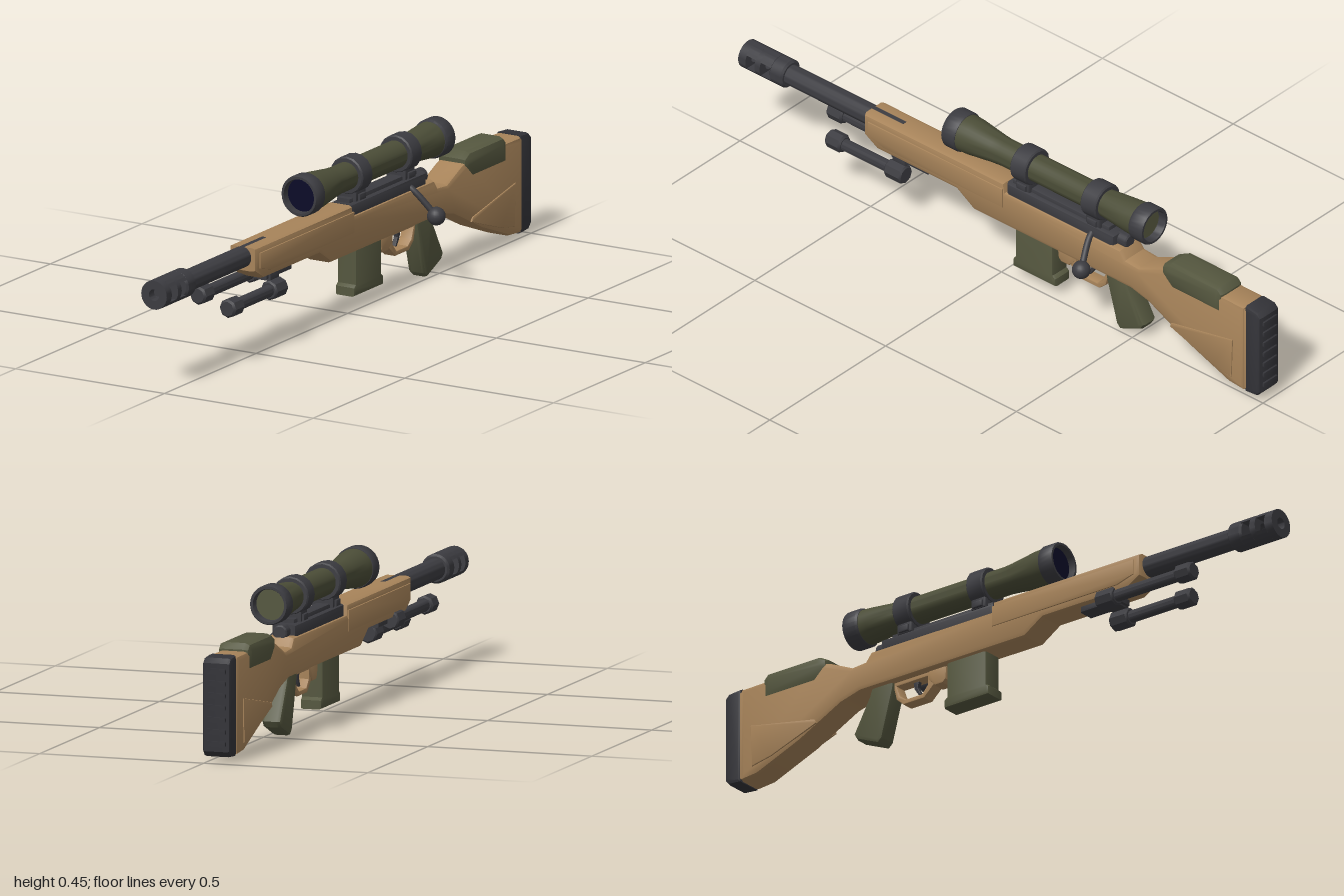
import * as THREE from 'three';
import { toCreasedNormals } from 'three/addons/utils/BufferGeometryUtils.js';

const CX = -0.035; // centre plane of the rifle
const BORE = 0.295; // bore height
const SCOPE = 0.4; // scope axis height

export function createModel() {
  const root = new THREE.Group();
  root.name = 'rifle';
  const mat = (name, color) => {
    const m = new THREE.MeshStandardMaterial({ color });
    m.name = name;
    return m;
  };
  const tan = mat('tan', 0xa8845a);
  const olive = mat('olive', 0x55573f);
  const scopeGreen = mat('scopeGreen', 0x4b4d37);
  const dark = mat('darkMetal', 0x3c3c41);
  const black = mat('rubber', 0x333338);
  const glass = mat('lensBlue', 0x0b0b28);

  const add = (name, geo, material, x = 0, y = 0, z = 0) => {
    const m = new THREE.Mesh(geo, material);
    m.name = name;
    m.position.set(x, y, z);
    root.add(m);
    return m;
  };
  const shapeOf = (pts) => new THREE.Shape(pts.map((p) => new THREE.Vector2(p[0], p[1])));

  // side profile in (z, y), extruded across x to a total width with bevelled edges
  const slab = (name, profile, width, bevel, material, x = CX) => {
    const shape = Array.isArray(profile) ? shapeOf(profile) : profile;
    const geo = new THREE.ExtrudeGeometry(shape, {
      depth: width - 2 * bevel, bevelEnabled: bevel > 0, bevelThickness: bevel,
      bevelSize: bevel, bevelOffset: -bevel, bevelSegments: 2, curveSegments: 8,
    });
    geo.translate(0, 0, -(width - 2 * bevel) / 2);
    geo.rotateY(-Math.PI / 2);
    return add(name, toCreasedNormals(geo, 0.6), material, x);
  };
  const rect = (z0, z1, y0, y1) => [[z0, y0], [z1, y0], [z1, y1], [z0, y1]];

  // turned part along z from (radius, z) points, listed with z rising on the outside
  const turned = (name, pts, material, x, y, sides = 28) => {
    const geo = new THREE.LatheGeometry(pts.map((p) => new THREE.Vector2(p[0], p[1])), sides);
    geo.rotateX(Math.PI / 2);
    return add(name, toCreasedNormals(geo, 0.6), material, x, y);
  };
  const rod = (name, r, z0, z1, material, x, y, sides = 24, c = 0) =>
    turned(name, [[0, z0], [r - c, z0], [r, z0 + c], [r, z1 - c], [r - c, z1], [0, z1]], material, x, y, sides);

  // stock
  slab('stock', [
    [0.52, 0.255], [0.52, 0.325], [-0.015, 0.325], [-0.02, 0.295], [-0.46, 0.295],
    [-0.48, 0.27], [-0.53, 0.266], [-0.61, 0.303], [-0.65, 0.315], [-0.935, 0.312],
    [-0.935, 0.025], [-0.875, 0.03], [-0.72, 0.09], [-0.57, 0.165], [-0.5, 0.183],
    [0.1, 0.183], [0.165, 0.225], [0.47, 0.225],
  ], 0.092, 0.014, tan);
  for (const s of [-1, 1]) {
    const x = CX + s * 0.046;
    slab('buttPanel', [[-0.895, 0.185], [-0.89, 0.055], [-0.82, 0.068], [-0.655, 0.125], [-0.66, 0.138]], 0.007, 0.003, tan, x);
    slab('foreEndPanel', [[0.5, 0.262], [0.5, 0.308], [-0.015, 0.308], [-0.015, 0.245], [0.44, 0.245]], 0.007, 0.003, tan, x);
  }

  // recoil pad with ridges
  slab('buttPlate', rect(-0.945, -0.92, 0.03, 0.306), 0.08, 0.005, tan);
  slab('recoilPad', [[-0.935, 0.022], [-0.935, 0.316], [-0.98, 0.312], [-0.994, 0.298],
    [-0.994, 0.042], [-0.98, 0.026]], 0.085, 0.01, black);
  for (let i = 0; i < 7; i++) {
    const y = 0.065 + i * 0.035;
    slab('padRidge', rect(-1, -0.985, y - 0.008, y + 0.008), 0.06, 0.004, black);
  }

  // cheek rest
  slab('cheekRest', [[-0.65, 0.335], [-0.62, 0.318], [-0.62, 0.29], [-0.66, 0.253],
    [-0.852, 0.253], [-0.852, 0.318], [-0.835, 0.335]], 0.1, 0.02, olive);

  // receiver with rail and bolt
  slab('receiver', rect(-0.43, -0.018, 0.28, 0.326), 0.075, 0.012, dark);
  slab('rail', rect(-0.4, -0.03, 0.315, 0.338), 0.045, 0.005, dark);
  rod('boltShroud', 0.022, -0.462, -0.42, dark, CX, 0.306, 20, 0.004);
  const ball = new THREE.Vector3(0.071, 0.22, -0.368);
  const arm = new THREE.CatmullRomCurve3([
    new THREE.Vector3(-0.02, 0.312, -0.342), new THREE.Vector3(0.012, 0.29, -0.346), ball.clone(),
  ]);
  add('boltHandle', new THREE.TubeGeometry(arm, 10, 0.0095, 10), dark);
  add('boltKnob', new THREE.SphereGeometry(0.027, 20, 14), dark, ball.x, ball.y, ball.z);

  // barrel and slotted muzzle brake
  rod('barrel', 0.031, 0.4, 0.85, dark, CX, BORE, 28);
  const R = 0.043, H = 0.022;
  rod('brakeBase', R, 0.835, 0.885, dark, CX, BORE, 28, 0.006);
  const disc = new THREE.Shape().absarc(0, 0, R, 0, Math.PI * 2);
  disc.holes.push(new THREE.Path().absarc(0, 0, 0.017, 0, Math.PI * 2, true));
  const a = Math.asin(H / R);
  const cap = new THREE.Shape().absarc(0, 0, R, a, Math.PI - a);
  const alongZ = (name, shape, z0, z1, flip = 0) => {
    const geo = new THREE.ExtrudeGeometry(shape, { depth: z1 - z0, bevelEnabled: false, curveSegments: 14 });
    geo.rotateZ(flip);
    add(name, toCreasedNormals(geo, 0.6), dark, CX, BORE, z0);
  };
  alongZ('brakeWeb', disc, 0.918, 0.938);
  alongZ('brakeFront', disc, 0.972, 1);
  for (const [z0, z1] of [[0.88, 0.92], [0.936, 0.974]]) {
    alongZ('brakeTop', cap, z0, z1);
    alongZ('brakeBottom', cap, z0, z1, Math.PI);
  }

  // scope
  turned('scopeTube', [[0.047, -0.51], [0.053, -0.508], [0.051, -0.475], [0.043, -0.39], [0.041, -0.37],
    [0.041, 0.01], [0.044, 0.045], [0.055, 0.13], [0.057, 0.17], [0.05, 0.17]], scopeGreen, CX, SCOPE);
  turned('objectiveRing', [[0.05, 0.16], [0.058, 0.16], [0.061, 0.166], [0.061, 0.205], [0.058, 0.21],
    [0.051, 0.21], [0.049, 0.19], [0.049, 0.16]], dark, CX, SCOPE);
  turned('ocularRing', [[0.046, -0.5], [0.046, -0.55], [0.048, -0.555], [0.055, -0.555], [0.058, -0.55],
    [0.058, -0.508], [0.054, -0.502], [0.046, -0.5]], dark, CX, SCOPE);
  add('objectiveLens', new THREE.CircleGeometry(0.05, 28), glass, CX, SCOPE, 0.19);
  add('ocularLens', new THREE.CircleGeometry(0.047, 28), olive, CX, SCOPE, -0.53).rotation.y = Math.PI;

  // scope rings on their feet
  for (const z of [-0.077, -0.346]) {
    rod('scopeRing', 0.056, z - 0.029, z + 0.029, dark, CX, SCOPE, 16, 0.004);
    slab('ringFoot', rect(z - 0.027, z + 0.027, 0.325, 0.375), 0.066, 0.006, dark);
    slab('ringClamp', rect(z - 0.018, z + 0.018, 0.328, 0.348), 0.08, 0.005, dark);
  }

  // magazine
  slab('magazine', [[-0.05, 0.2], [-0.05, 0.08], [-0.04, 0.072], [-0.04, 0.046], [-0.203, 0.046],
    [-0.203, 0.072], [-0.192, 0.08], [-0.192, 0.2]], 0.066, 0.008, olive);

  // trigger guard and trigger
  slab('magazineCatch', [[-0.2, 0.19], [-0.205, 0.145], [-0.215, 0.135], [-0.245, 0.135], [-0.27, 0.16], [-0.27, 0.19]], 0.045, 0.006, tan);
  const guard = shapeOf([[-0.25, 0.19], [-0.25, 0.14], [-0.285, 0.108], [-0.36, 0.108], [-0.385, 0.13], [-0.4, 0.19]]);
  guard.holes.push(new THREE.Path([[-0.272, 0.172], [-0.385, 0.172], [-0.372, 0.138],
    [-0.352, 0.122], [-0.292, 0.122], [-0.272, 0.145]].map((p) => new THREE.Vector2(p[0], p[1]))));
  slab('triggerGuard', guard, 0.04, 0.003, tan);
  slab('trigger', [[-0.31, 0.185], [-0.318, 0.155], [-0.306, 0.13], [-0.314, 0.128], [-0.33, 0.152], [-0.335, 0.185]], 0.014, 0.002, dark);

  // pistol grip
  slab('grip', [[-0.388, 0.2], [-0.392, 0.168], [-0.432, 0.022], [-0.447, 0.008], [-0.525, 0.042],
    [-0.536, 0.06], [-0.478, 0.165], [-0.466, 0.2]], 0.06, 0.012, olive);

  // folded bipod
  slab('bipodMount', rect(0.29, 0.43, 0.208, 0.235), 0.055, 0.005, dark);
  slab('bipodBridge', rect(0.37, 0.42, 0.203, 0.236), 0.07, 0.006, dark, -0.035);
  for (const [x, y, front] of [[-0.068, 0.219, 0.71], [-0.001, 0.177, 0.657]]) {
    rod('bipodLeg', 0.018, 0.38, front - 0.03, dark, x, y, 12);
    rod('bipodFoot', 0.028, front - 0.058, front, dark, x, y, 8, 0.006);
    rod('bipodHinge', 0.029, 0.365, 0.43, dark, x, y, 8, 0.005);
  }
  return root;
}
